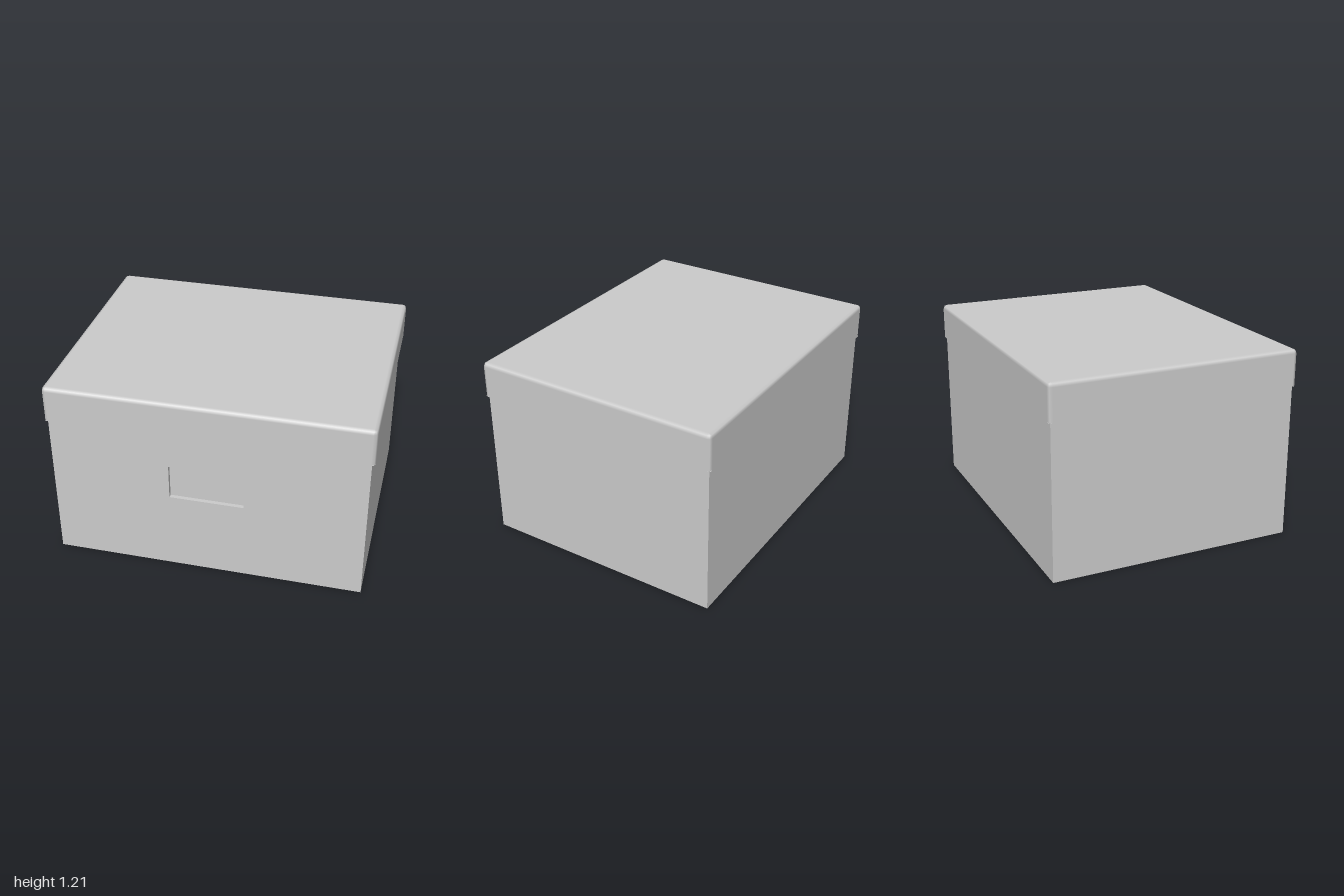
import * as THREE from 'three';

const W = 0.98, D = 0.785, H = 1.01;           // body half width, half depth, height
const LW = 1, LD = 0.8, RIM = 0.98, TOP = 1.21; // lid half sizes and heights
const R = 0.026;                                // lid edge rounding
const LABEL = { x: 0.233, y0: 0.525, y1: 0.755, depth: 0.025 };

const rectPoints = (x, y0, y1) => [[-x, y0], [x, y0], [x, y1], [-x, y1]].map(([a, b]) => new THREE.Vector2(a, b));

// Lid shell: rounded-rectangle rings that stand straight, then curl in over the top edge
function lidShell() {
  const steps = 2, pos = [], nor = [], idx = [];
  const rings = [[RIM, 0]];
  for (let i = 0; i <= steps; i++) rings.push([TOP - R, (i / steps) * Math.PI / 2]);
  const corners = [[1, 1], [-1, 1], [-1, -1], [1, -1]];
  const n = corners.length * (steps + 1);
  for (const [y, tilt] of rings) {
    corners.forEach(([sx, sz], c) => {
      for (let k = 0; k <= steps; k++) {
        const a = (c + k / steps) * Math.PI / 2;
        const nx = Math.cos(a) * Math.cos(tilt), nz = Math.sin(a) * Math.cos(tilt), ny = Math.sin(tilt);
        pos.push(sx * (LW - R) + nx * R, y + ny * R, sz * (LD - R) + nz * R);
        nor.push(nx, ny, nz);
      }
    });
  }
  for (let r = 0; r < rings.length - 1; r++) {
    for (let i = 0; i < n; i++) {
      const j = (i + 1) % n, a = r * n + i, b = r * n + j;
      idx.push(a, a + n, b, b, a + n, b + n);
    }
  }
  const g = new THREE.BufferGeometry();
  g.setAttribute('position', new THREE.Float32BufferAttribute(pos, 3));
  g.setAttribute('normal', new THREE.Float32BufferAttribute(nor, 3));
  g.setIndex(idx);
  return g;
}

export function createModel() {
  const card = new THREE.MeshStandardMaterial({ color: 0xcccccc, side: THREE.DoubleSide });
  card.name = 'grey card';
  const model = new THREE.Group();
  model.name = 'storageBox';
  const body = new THREE.Group();
  body.name = 'body';
  const lid = new THREE.Group();
  lid.name = 'lid';
  model.add(body, lid);

  const add = (parent, name, geometry, position = [0, 0, 0], rotation = [0, 0, 0]) => {
    const mesh = new THREE.Mesh(geometry, card);
    mesh.name = name;
    mesh.position.set(...position);
    mesh.rotation.set(...rotation);
    parent.add(mesh);
  };
  const plane = (w, h) => new THREE.PlaneGeometry(w, h);
  const Q = Math.PI / 2;

  // Body walls, open underneath
  add(body, 'backWall', plane(2 * W, H), [0, H / 2, -D], [0, Math.PI, 0]);
  for (const s of [-1, 1]) {
    add(body, s > 0 ? 'leftWall' : 'rightWall', plane(2 * D, H), [s * W, H / 2, 0], [0, s * Q, 0]);
  }
  add(body, 'bodyTop', plane(2 * W, 2 * D), [0, H, 0], [-Q, 0, 0]);

  // Front wall with a label opening
  const front = new THREE.Shape(rectPoints(W, 0, H));
  front.holes.push(new THREE.Path(rectPoints(LABEL.x, LABEL.y0, LABEL.y1)));
  add(body, 'frontWall', new THREE.ShapeGeometry(front), [0, 0, D]);

  // Shallow label recess
  const { x, y0, y1, depth } = LABEL;
  const h = y1 - y0, yc = (y0 + y1) / 2, zc = D - depth / 2;
  add(body, 'labelPanel', plane(2 * x, h), [0, yc, D - depth]);
  for (const s of [-1, 1]) {
    add(body, 'labelSide', plane(depth, h), [s * x, yc, zc], [0, -s * Q, 0]);
    add(body, 'labelEdge', plane(2 * x, depth), [0, yc + s * h / 2, zc], [s * Q, 0, 0]);
  }

  // Lid with its top panel and the underside of its overhang
  add(lid, 'lidShell', lidShell());
  add(lid, 'lidTop', plane(2 * (LW - R), 2 * (LD - R)), [0, TOP, 0], [-Q, 0, 0]);
  for (const s of [-1, 1]) {
    add(lid, 'rimLong', plane(2 * (LW - R / 3), LD - D), [0, RIM, s * (LD + D) / 2], [Q, 0, 0]);
    add(lid, 'rimShort', plane(LW - W, 2 * D), [s * (LW + W) / 2, RIM, 0], [Q, 0, 0]);
  }
  return model;
}
